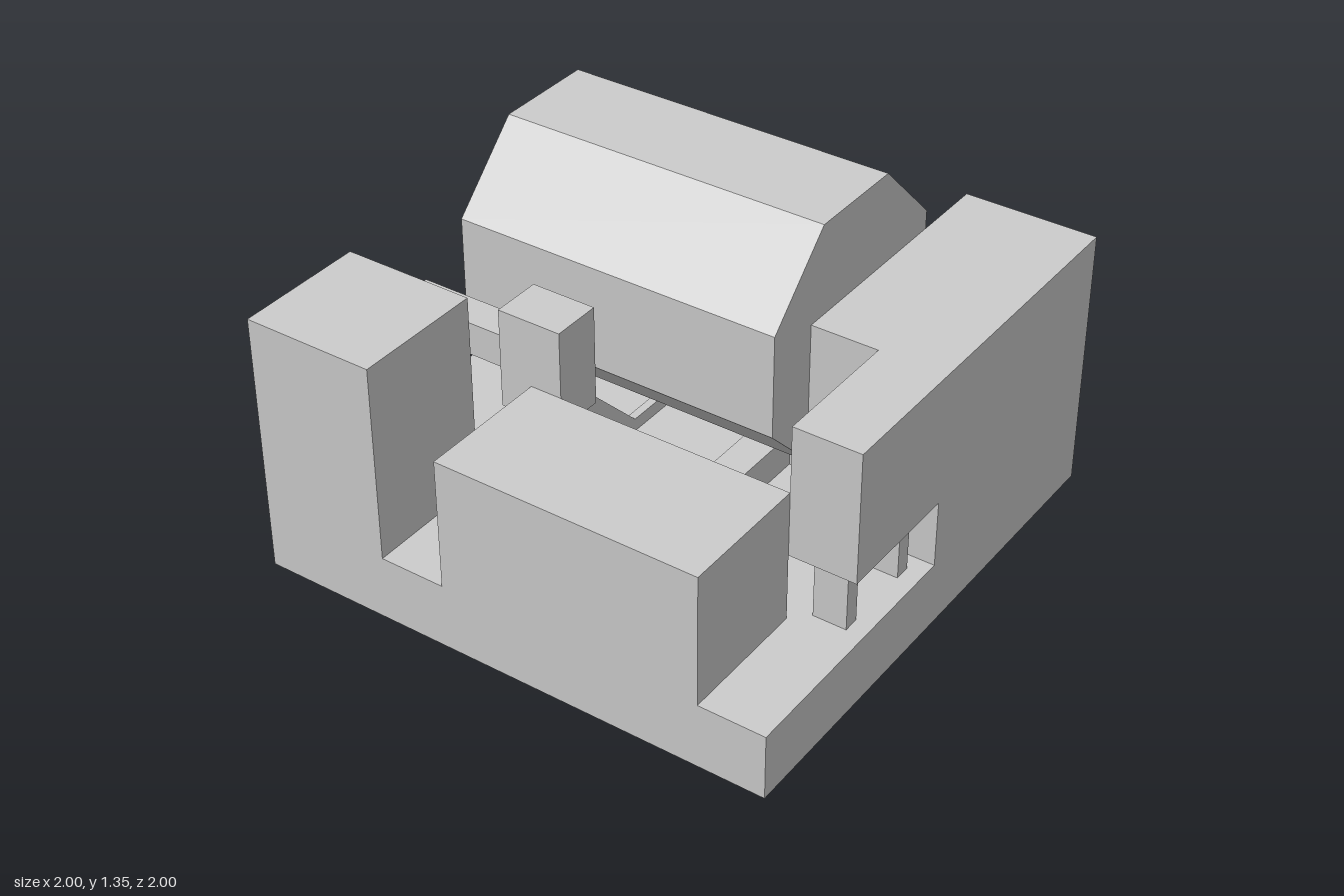
import * as THREE from 'three';

export function createModel() {
  const model = new THREE.Group();
  model.name = 'drumMachine';
  const gray = new THREE.MeshStandardMaterial({ color: 0xcccccc, flatShading: true });
  gray.name = 'plainGray';

  const add = (name, geometry) => {
    const mesh = new THREE.Mesh(geometry, gray);
    mesh.name = name;
    model.add(mesh);
    return mesh;
  };

  // Box given by its [min, max] range on each axis
  const box = (name, [x0, x1], [y0, y1], [z0, z1]) =>
    add(name, new THREE.BoxGeometry(x1 - x0, y1 - y0, z1 - z0)
      .translate((x0 + x1) / 2, (y0 + y1) / 2, (z0 + z1) / 2));

  // Outline of (z, y) points extruded along x
  const prismX = (name, [x0, x1], points) => {
    const shape = new THREE.Shape(points.map(([z, y]) => new THREE.Vector2(z, y)));
    const geometry = new THREE.ExtrudeGeometry(shape, { depth: x1 - x0, bevelEnabled: false });
    return add(name, geometry.rotateY(-Math.PI / 2).translate(x1, 0, 0));
  };

  // Outline of (x, z) points extruded along y
  const prismY = (name, [y0, y1], points) => {
    const shape = new THREE.Shape(points.map(([x, z]) => new THREE.Vector2(x, -z)));
    const geometry = new THREE.ExtrudeGeometry(shape, { depth: y1 - y0, bevelEnabled: false });
    return add(name, geometry.rotateX(-Math.PI / 2).translate(0, y0, 0));
  };

  // Floor slab and housings
  const floor = 0.25;
  box('base', [-1, 1], [0, floor], [-1, 1]);
  box('sideHousing', [0.5, 1], [floor, 1], [-1, 0]);
  box('sideOverhang', [0.75, 1], [0.505, 1], [0, 0.5]);
  box('tallFrontHousing', [-1, -0.5], [floor, 1], [0.5, 1]);
  box('lowFrontHousing', [-0.25, 0.75], [floor, 0.75], [0.5, 1]);

  // Legs carrying the overhang
  for (const z of [0.065, 0.38]) {
    box('overhangLeg', [0.81, 0.935], [floor, 0.505], [z, z + 0.06]);
  }

  // Octagonal drum with an end plate
  const cz = -0.2525, cy = 0.877, radius = 0.468 / Math.cos(Math.PI / 8);
  const octagon = [];
  for (let i = 0; i < 8; i++) {
    const a = (i + 0.5) * Math.PI / 4;
    octagon.push([cz + radius * Math.cos(a), cy + radius * Math.sin(a)]);
  }
  prismX('drum', [-0.75, 0.5], octagon);
  box('drumEndPlate', [-0.812, -0.75], [0.72, 1.032], [-0.41, -0.095]);

  // Support frame: posts, brackets and braces mirrored front to back
  const post = [-0.282, -0.222], thin = [-0.268, -0.237];
  const zRange = (side, a, b) => [cz + side * a, cz + side * b].sort((p, q) => p - q);
  for (const side of [1, -1]) {
    box('supportPost', post, [floor, 0.905], zRange(side, 0.5, 0.5625));
    box('supportBracket', post, [0.845, 0.905], zRange(side, 0.465, 0.5));
    prismX('supportBrace', thin,
      [[0.5, 0.505], [0.5, 0.6], [0.15, 0.25], [0.245, 0.25]]
        .map(([d, y]) => [cz + side * d, y]));
  }
  box('supportCrossbar', thin, [floor, 0.3], [cz - 0.5, cz + 0.5]);

  // Control box with its elbow duct
  box('controlBox', [-0.375, -0.13], [0.625, 1], [0.312, 0.5]);
  prismY('upperDuct', [0.75, 0.875],
    [[-0.812, 0.5], [-0.812, 0.342], [-0.375, 0.342], [-0.375, 0.467], [-0.687, 0.467], [-0.687, 0.5]]);

  // Elbow duct along the floor, from the low housing to the side housing
  prismY('floorDuct', [floor, 0.378],
    [[0.188, 0.5], [0.188, -0.32], [0.5, -0.32], [0.5, -0.195], [0.312, -0.195], [0.312, 0.5]]);

  return model;
}
